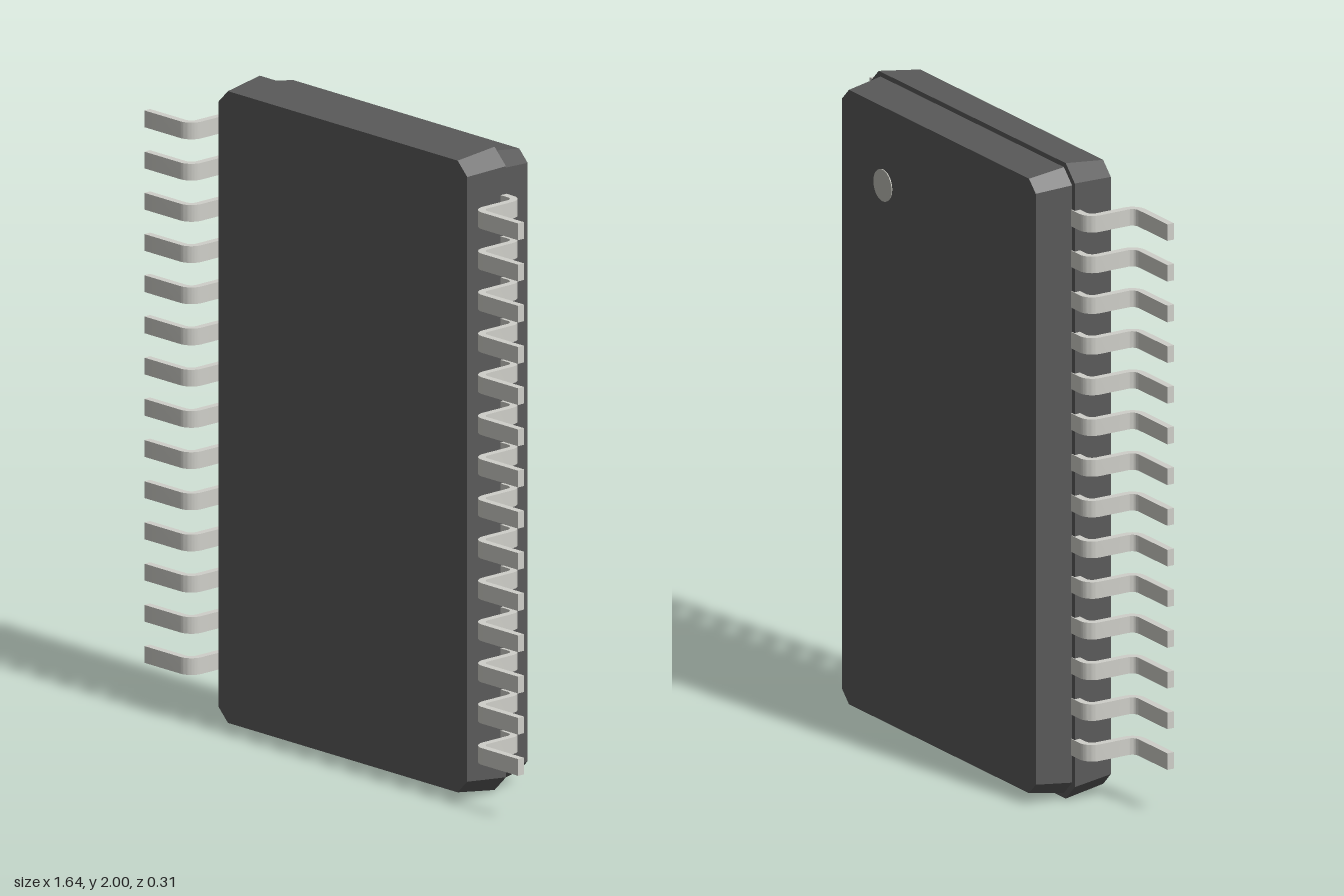
import * as THREE from 'three';
import { toCreasedNormals } from 'three/addons/utils/BufferGeometryUtils.js';

const bodyMaterial = new THREE.MeshStandardMaterial({ color: 0x5a5a5a, flatShading: true });
const leadMaterial = new THREE.MeshStandardMaterial({ color: 0xcfcfc9 });
const dotMaterial = new THREE.MeshStandardMaterial({ color: 0xbcbcb4 });

const PARTING_Z = -0.037;
const BACK_Z = -0.155;

// Rectangle with clipped corners, counter-clockwise seen from +z
function clippedRect({ w, h, c, z }) {
  return [
    [w, -h + c], [w, h - c], [w - c, h], [-w + c, h],
    [-w, h - c], [-w, -h + c], [-w + c, -h], [w - c, -h],
  ].map(([x, y]) => [x, y, z]);
}

// Tapered, capped solid between a back section and a front section
function taperedSlab(back, front) {
  const positions = [...clippedRect(back), ...clippedRect(front)].flat();
  const index = [];
  const n = 8;
  for (let i = 0; i < n; i++) {
    const j = (i + 1) % n;
    index.push(i, j, n + j, i, n + j, n + i);
    if (i > 0 && i < n - 1) index.push(0, i + 1, i, n, n + i, n + i + 1);
  }
  const indexed = new THREE.BufferGeometry();
  indexed.setAttribute('position', new THREE.Float32BufferAttribute(positions, 3));
  indexed.setIndex(index);
  const geometry = indexed.toNonIndexed();
  geometry.computeVertexNormals();
  return geometry;
}

// Gull-wing lead: bent strip profile in x/z, extruded across its width
function leadGeometry(width) {
  const inner = 0.022, outer = 0.045;
  const topX = 0.595, topZ = 0.005, footX = 0.662, footZ = 0.105, tipX = 0.82;
  const s = new THREE.Shape();
  s.moveTo(0.53, topZ - outer);
  s.lineTo(topX, topZ - outer);
  s.absarc(topX, topZ, outer, -Math.PI / 2, 0, false);
  s.absarc(footX, footZ, inner, Math.PI, Math.PI / 2, true);
  s.lineTo(tipX, footZ + inner);
  s.lineTo(tipX, footZ + outer);
  s.absarc(footX, footZ, outer, Math.PI / 2, Math.PI, false);
  s.absarc(topX, topZ, inner, 0, -Math.PI / 2, true);
  s.lineTo(0.53, topZ - inner);
  const geometry = new THREE.ExtrudeGeometry(s, { depth: width, bevelEnabled: false, curveSegments: 8 });
  geometry.translate(0, 0, -width / 2);
  geometry.rotateX(Math.PI / 2);
  return toCreasedNormals(geometry, Math.PI / 6);
}

export function createModel() {
  const model = new THREE.Group();
  model.name = 'chipPackage';

  const add = (name, geometry, material, parent = model) => {
    const mesh = new THREE.Mesh(geometry, material);
    mesh.name = name;
    parent.add(mesh);
    return mesh;
  };

  // Two moulded body halves meeting at a stepped parting line
  add('frontBody', taperedSlab(
    { w: 0.565, h: 1, c: 0.05, z: PARTING_Z },
    { w: 0.546, h: 0.982, c: 0.042, z: 0.103 },
  ), bodyMaterial).position.y = 1;
  add('backBody', taperedSlab(
    { w: 0.533, h: 0.967, c: 0.037, z: BACK_Z },
    { w: 0.55, h: 0.985, c: 0.045, z: PARTING_Z },
  ), bodyMaterial).position.y = 1;

  // Round orientation mark on the back face
  const dot = add('orientationDot', new THREE.CylinderGeometry(0.05, 0.05, 0.006, 32), dotMaterial);
  dot.rotation.x = Math.PI / 2;
  dot.position.set(0.307, 1.72, BACK_Z);

  // Two rows of leads; the second row is the first turned half round
  const lead = leadGeometry(0.052);
  const count = 14, pitch = 0.1281;
  for (const [name, angle] of [['leftLeads', 0], ['rightLeads', Math.PI]]) {
    const row = new THREE.Group();
    row.name = name;
    row.position.y = 1.005;
    row.rotation.z = angle;
    for (let i = 0; i < count; i++) {
      add('lead', lead, leadMaterial, row).position.y = (i - (count - 1) / 2) * pitch;
    }
    model.add(row);
  }

  return model;
}
